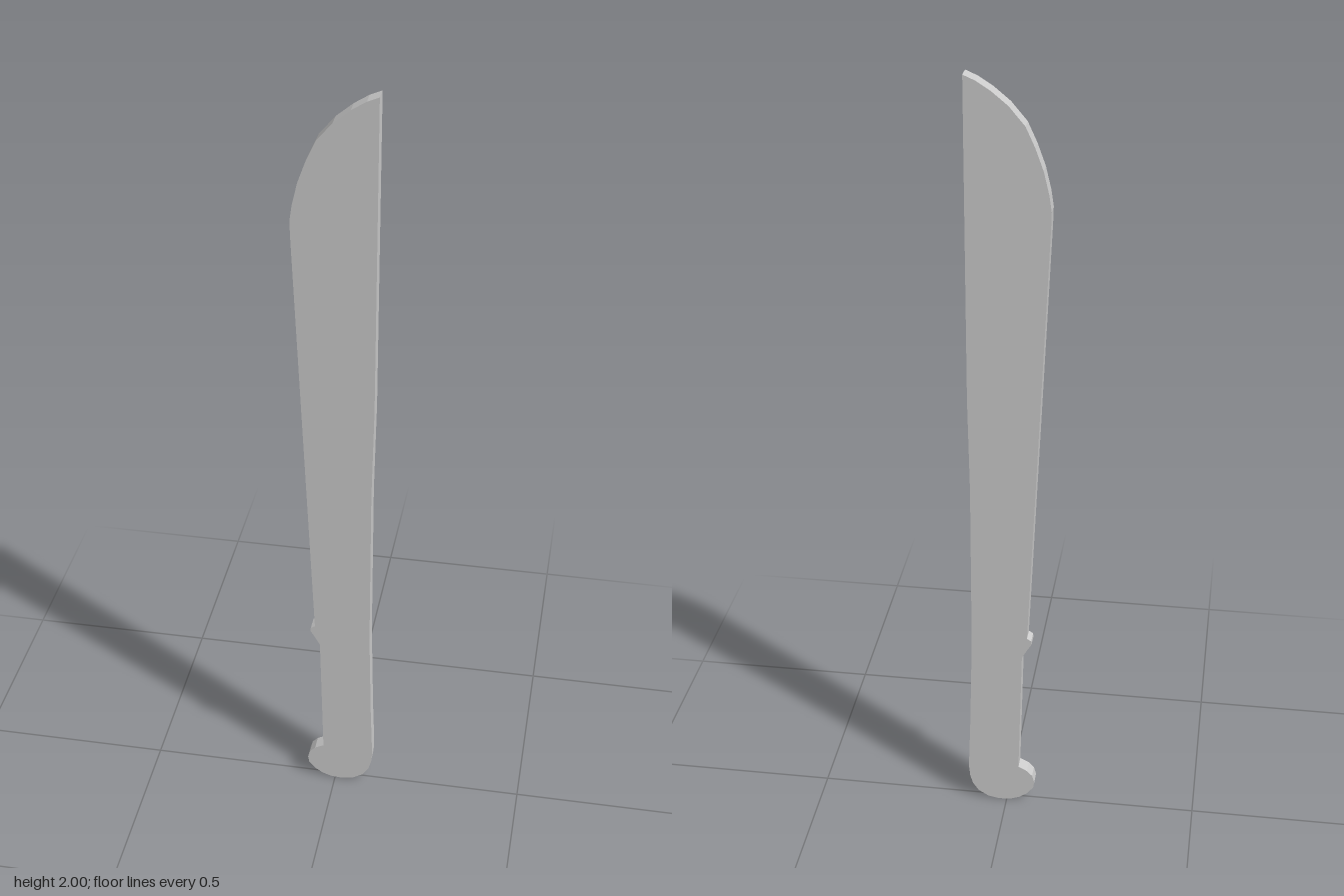
import * as THREE from 'three';

const THICKNESS = 0.039;

export function createModel() {
  const group = new THREE.Group();
  group.name = 'machete';

  // Flat silhouette, counter-clockwise from the bottom of the pommel
  const outline = [
    // rounded butt and straight spine
    [0.02, 0], [0.05, 0.006], [0.076, 0.022], [0.092, 0.045], [0.099, 0.07], [0.102, 0.1], [0.101, 0.14],
    [0.097, 0.25], [0.091, 0.5], [0.091, 0.95], [0.096, 1.2], [0.098, 2],
    // curved tip
    [0.07, 1.988], [0.035, 1.966], [-0.005, 1.933], [-0.043, 1.888],
    [-0.065, 1.84], [-0.085, 1.785], [-0.098, 1.73], [-0.104, 1.69], [-0.103, 1.65],
    // cutting edge down to the small finger stop
    [-0.053, 0.525], [-0.064, 0.518], [-0.065, 0.508], [-0.055, 0.492], [-0.04, 0.465],
    // grip and hooked pommel
    [-0.032, 0.112], [-0.055, 0.1], [-0.069, 0.085], [-0.075, 0.064], [-0.072, 0.046],
    [-0.055, 0.025], [-0.035, 0.011], [-0.01, 0.002],
  ];
  const shape = new THREE.Shape(outline.map(([x, y]) => new THREE.Vector2(x, y)));
  const geometry = new THREE.ExtrudeGeometry(shape, { depth: THICKNESS, bevelEnabled: false });
  geometry.translate(0, 0, -THICKNESS / 2);

  // Blade and grip are one continuous plate
  const plate = new THREE.Mesh(
    geometry,
    new THREE.MeshStandardMaterial({ color: 0xcccccc, flatShading: true })
  );
  plate.name = 'bladeAndGrip';
  group.add(plate);
  return group;
}
